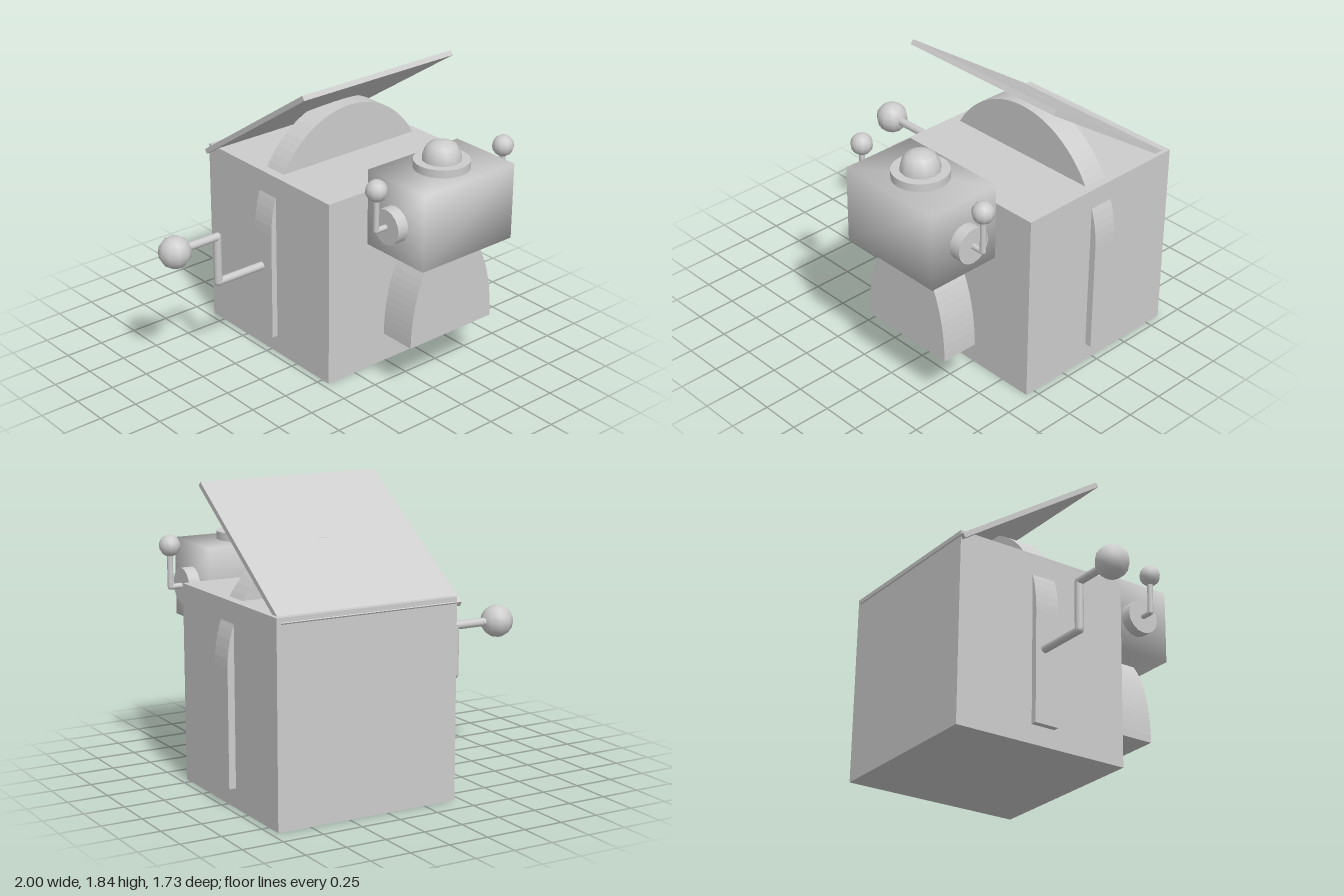
import * as THREE from 'three';
import { mergeVertices } from 'three/addons/utils/BufferGeometryUtils.js';

export function createModel() {
  const model = new THREE.Group();
  model.name = 'musicBox';
  const grey = new THREE.MeshStandardMaterial({ color: 0xcccccc });
  grey.name = 'plain grey';

  const add = (name, geometry, x = 0, y = 0, z = 0, parent = model) => {
    const mesh = new THREE.Mesh(geometry, grey);
    mesh.name = name;
    mesh.position.set(x, y, z);
    parent.add(mesh);
    return mesh;
  };

  // Share the corner normals so that the shading rolls over the edges
  const soften = (geometry) => {
    geometry.deleteAttribute('uv');
    geometry.deleteAttribute('normal');
    const soft = mergeVertices(geometry, 1e-4);
    soft.computeVertexNormals();
    return soft;
  };

  // Straight rods with round joints along a path
  const rods = (name, points, radius) => {
    const group = new THREE.Group();
    group.name = name;
    const path = points.map((p) => new THREE.Vector3(...p));
    for (let i = 0; i < path.length - 1; i++) {
      const dir = path[i + 1].clone().sub(path[i]);
      const mid = path[i].clone().add(path[i + 1]).multiplyScalar(0.5);
      const rod = add(name + 'Rod', new THREE.CylinderGeometry(radius, radius, dir.length(), 10),
        mid.x, mid.y, mid.z, group);
      rod.quaternion.setFromUnitVectors(new THREE.Vector3(0, 1, 0), dir.normalize());
      if (i > 0) add(name + 'Joint', new THREE.SphereGeometry(radius, 10, 6), ...points[i], group);
    }
    model.add(group);
  };

  // Plate with an elliptical top standing on straight sides
  const archPlate = (halfWidth, bottom, spring, top, depth) => {
    const shape = new THREE.Shape();
    shape.moveTo(-halfWidth, bottom);
    shape.lineTo(halfWidth, bottom);
    if (spring > bottom) shape.lineTo(halfWidth, spring);
    shape.absellipse(0, spring, halfWidth, top - spring, 0, Math.PI, false);
    shape.closePath();
    const geometry = new THREE.ExtrudeGeometry(shape, { depth, bevelEnabled: false, curveSegments: 20 });
    return geometry.translate(0, 0, -depth / 2);
  };

  // Box and the arched plate that runs through it
  add('box', new THREE.BoxGeometry(1.166, 1.21, 1.17), 0.373, 0.605, -0.275);
  add('archPlate', archPlate(0.624, 0.12, 0.83, 1.53, 0.16), 0.375, 0, -0.27);

  // Open lid, tilted up towards the front
  const lid = add('lid', new THREE.BoxGeometry(1.17, 0.032, 1.172), 0.345, 1.494, -0.371);
  lid.rotation.x = -0.595;

  // Crank with knob
  const crankZ = -0.288;
  rods('crank', [[-0.2, 0.59, crankZ], [-0.585, 0.59, crankZ],
    [-0.585, 0.895, crankZ], [-0.85, 0.895, crankZ]], 0.026);
  add('crankKnob', new THREE.SphereGeometry(0.102, 10, 8), -0.895, 0.892, crankZ);

  // Figure body and head
  const cx = 0.388, cz = 0.62;
  add('body', archPlate(0.328, 0.34, 0.34, 1.0, 0.24), cx, 0, 0.625);
  add('head', soften(new THREE.BoxGeometry(0.714, 0.485, 0.485)), cx, 1.148, cz);

  // Ears and antennae, mirrored
  for (const [side, s] of [['left', 1], ['right', -1]]) {
    const ear = add(side + 'Ear', new THREE.CylinderGeometry(0.112, 0.112, 0.1, 16), cx + s * 0.382, 1.13, cz);
    ear.rotation.z = Math.PI / 2;
    rods(side + 'Antenna', [[cx + s * 0.42, 1.13, cz], [cx + s * 0.506, 1.13, cz],
      [cx + s * 0.506, 1.36, cz]], 0.018);
    add(side + 'AntennaBall', new THREE.SphereGeometry(0.067, 10, 8), cx + s * 0.506, 1.385, cz);
  }

  // Lamp on the head
  add('lampCollar', new THREE.CylinderGeometry(0.17, 0.17, 0.06, 32), cx, 1.41, cz);
  const profile = [[0.118, 1.4], [0.12, 1.45], [0.108, 1.495], [0.085, 1.532], [0.045, 1.55], [0, 1.555]];
  add('lampDome', new THREE.LatheGeometry(profile.map(([r, y]) => new THREE.Vector2(r, y)), 12), cx, 0, cz);

  return model;
}
